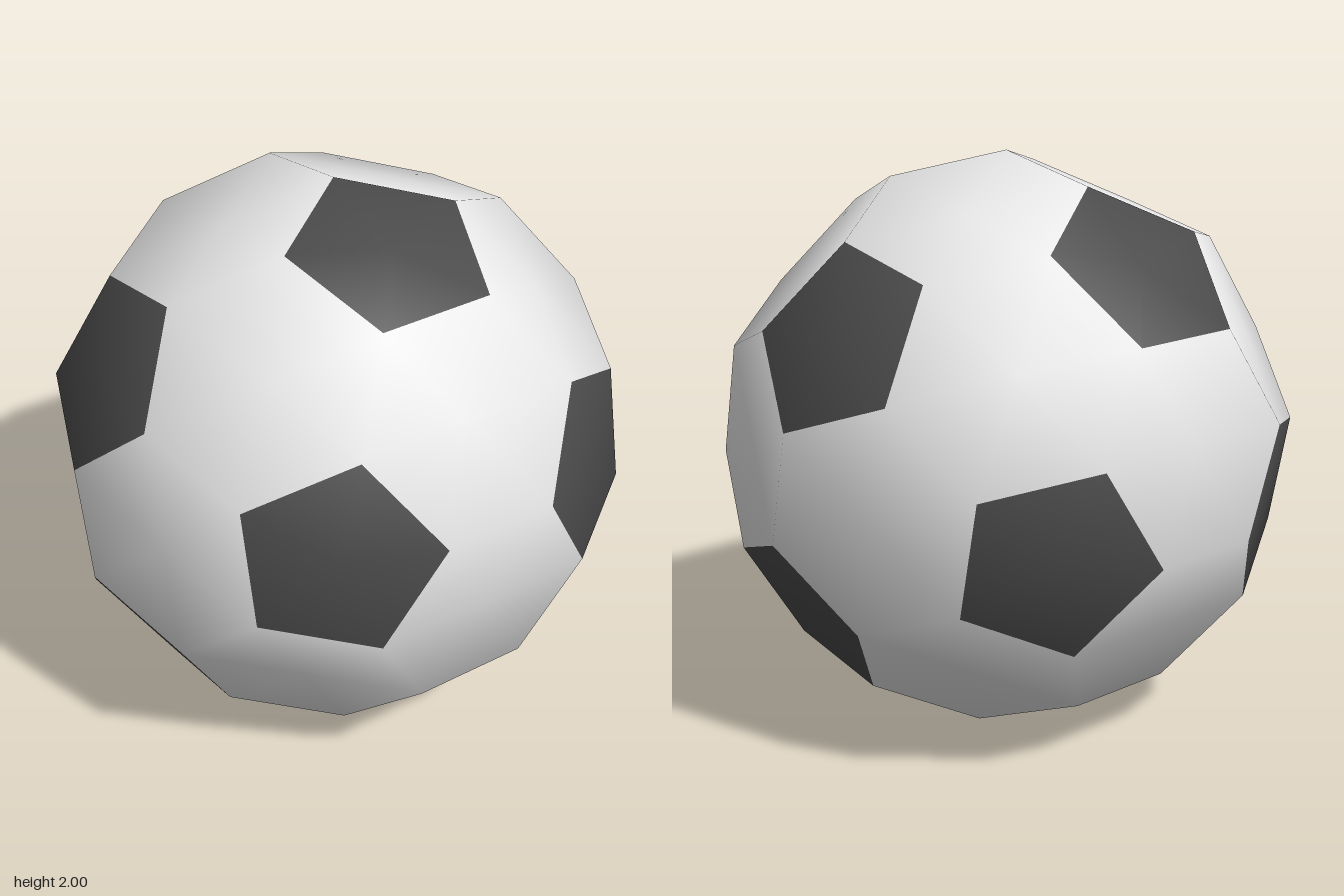
import * as THREE from 'three';

// Football: a truncated icosahedron standing on one vertex, softly shaded
export function createModel() {
  const white = new THREE.MeshStandardMaterial({ color: 0xe7e7e7 });
  white.name = 'white panel';
  const black = new THREE.MeshStandardMaterial({ color: 0x4a4a4a });
  black.name = 'black panel';

  // Corners of the 20 icosahedron faces
  const pos = new THREE.IcosahedronGeometry(1, 0).getAttribute('position');
  const corners = Array.from({ length: pos.count }, (_, i) => new THREE.Vector3().fromBufferAttribute(pos, i));

  // Point a third of the way from p to q, pushed out to radius 1
  const cut = (p, q) => p.clone().multiplyScalar(2).add(q).normalize();

  // Turn the ball so one pentagon corner points up and its edge runs along +x
  const [a0, b0, c0] = corners;
  const ey = cut(a0, c0);
  const ex = cut(a0, b0).addScaledVector(ey, -ey.dot(cut(a0, b0))).normalize();
  const ez = new THREE.Vector3().crossVectors(ex, ey);
  const turn = new THREE.Matrix4().makeBasis(ex, ey, ez).transpose();
  corners.forEach((v) => v.applyMatrix4(turn));

  // Gather fan triangles for both panel types
  const hexagons = [];
  const pentagons = [];
  const edge = cut(corners[0], corners[1]).distanceTo(cut(corners[0], corners[2]));
  const pentagonDepth = Math.sqrt(1 - (edge / (2 * Math.sin(Math.PI / 5))) ** 2);
  for (let i = 0; i < corners.length; i += 3) {
    const [a, b, c] = corners.slice(i, i + 3);
    const ring = [cut(a, b), cut(b, a), cut(b, c), cut(c, b), cut(c, a), cut(a, c)];
    const middle = ring.reduce((sum, p) => sum.add(p), new THREE.Vector3()).divideScalar(6);
    ring.forEach((p, k) => hexagons.push(middle, p, ring[(k + 1) % 6]));
    for (const [v, next, prev] of [[a, b, c], [b, c, a], [c, a, b]]) {
      pentagons.push(v.clone().setLength(pentagonDepth), cut(v, next), cut(v, prev));
    }
  }

  // Panels with normals pointing straight out from the centre
  const group = new THREE.Group();
  group.name = 'ball';
  const addPanels = (name, points, material) => {
    const geometry = new THREE.BufferGeometry().setFromPoints(points);
    const normals = points.flatMap((p) => p.clone().normalize().toArray());
    geometry.setAttribute('normal', new THREE.Float32BufferAttribute(normals, 3));
    const mesh = new THREE.Mesh(geometry, material);
    mesh.name = name;
    mesh.position.y = 1;
    group.add(mesh);
  };
  addPanels('hexagonPanels', hexagons, white);
  addPanels('pentagonPanels', pentagons, black);
  return group;
}
